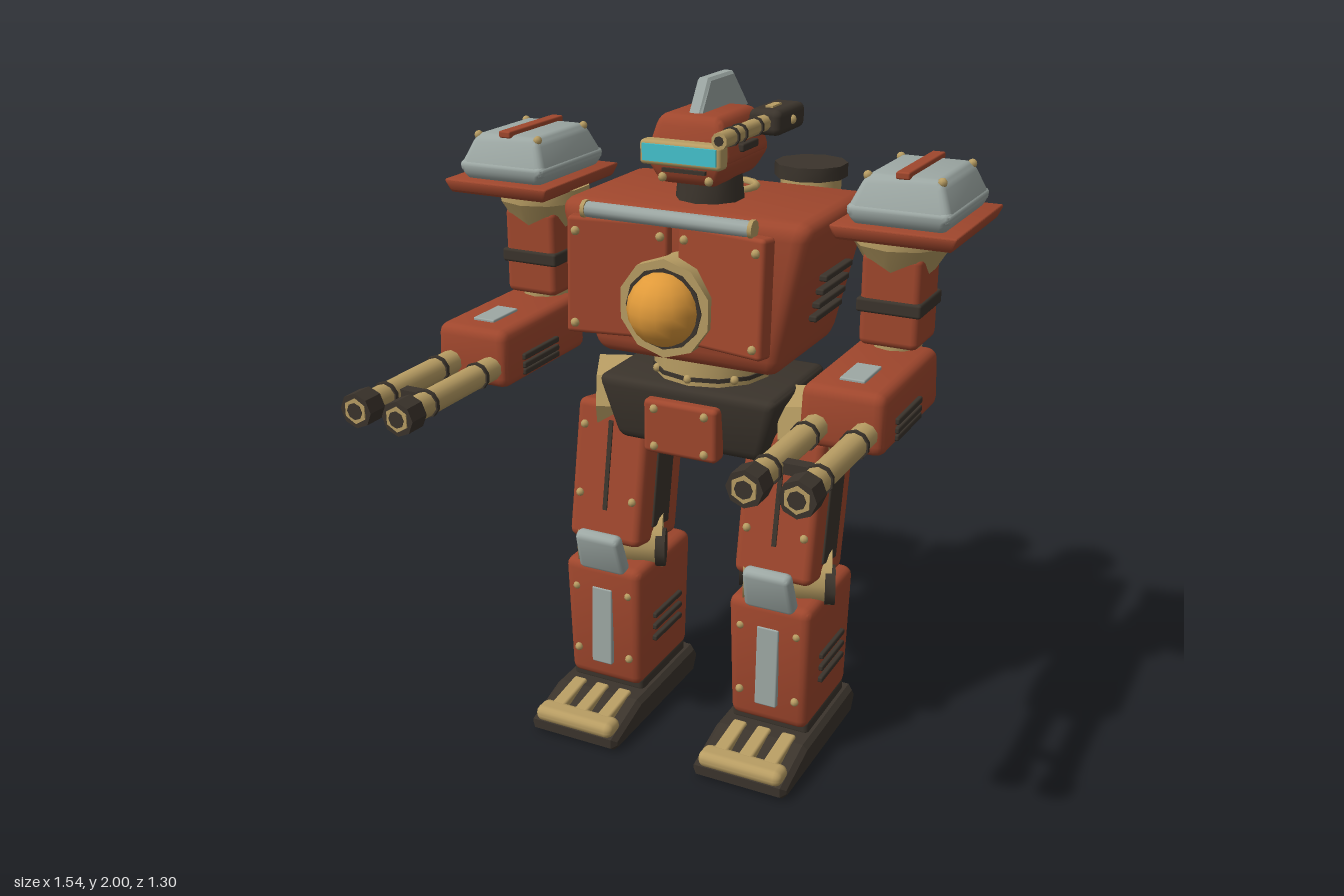
import * as THREE from 'three';
import { toCreasedNormals } from 'three/addons/utils/BufferGeometryUtils.js';
import { RoundedBoxGeometry } from 'three/addons/geometries/RoundedBoxGeometry.js';

const material = (name, color) => {
  const m = new THREE.MeshStandardMaterial({ color });
  m.name = name;
  return m;
};
const red = material('rust red', 0xa0472d);
const tan = material('brass tan', 0xb89d63);
const dark = material('dark iron', 0x3b342c);
const grey = material('pale steel', 0x9da8a4);
const cyan = material('visor cyan', 0x45c4cf);
const gold = material('amber', 0xe09a3a);

const HALF = Math.PI / 2;

function add(parent, name, geometry, mat, x = 0, y = 0, z = 0, rx = 0, ry = 0, rz = 0) {
  const mesh = new THREE.Mesh(geometry, mat);
  mesh.name = name;
  mesh.position.set(x, y, z);
  mesh.rotation.set(rx, ry, rz);
  parent.add(mesh);
  return mesh;
}

function group(parent, name, x = 0, y = 0, z = 0) {
  const g = new THREE.Group();
  g.name = name;
  g.position.set(x, y, z);
  parent.add(g);
  return g;
}

const box = (w, h, d) => new THREE.BoxGeometry(w, h, d);
const rbox = (w, h, d, r = 0.02) => new RoundedBoxGeometry(w, h, d, 2, r);

// Rounded box whose width and depth are scaled towards the top and bottom
function taperBox(w, h, d, r, top, bottom) {
  const g = rbox(w, h, d, r);
  const p = g.attributes.position;
  for (let i = 0; i < p.count; i++) {
    const t = p.getY(i) / h + 0.5;
    p.setX(i, p.getX(i) * THREE.MathUtils.lerp(bottom[0], top[0], t));
    p.setZ(i, p.getZ(i) * THREE.MathUtils.lerp(bottom[1], top[1], t));
  }
  return toCreasedNormals(g, 0.7);
}

const cyl = (r1, r2, h, n = 12) => toCreasedNormals(new THREE.CylinderGeometry(r1, r2, h, n), 0.7);
const cylZ = (r1, r2, h, n) => cyl(r1, r2, h, n).rotateX(HALF);
const cylX = (r, h, n) => cyl(r, r, h, n).rotateX(Math.PI / 8).rotateZ(HALF);

// Side outline of [z, y] points given a width along x
function sideExtrude(points, width, bevel = 0.008) {
  const shape = new THREE.Shape(points.map(([z, y]) => new THREE.Vector2(z, y)));
  const g = new THREE.ExtrudeGeometry(shape, {
    depth: width - 2 * bevel, bevelThickness: bevel, bevelSize: bevel, bevelOffset: -bevel, bevelSegments: 1,
  });
  return g.translate(0, 0, bevel - width / 2).rotateY(-HALF);
}

const boltGeo = new THREE.SphereGeometry(0.013, 8, 6);
function bolts(parent, xs, ys, z) {
  for (const x of xs) for (const y of ys) add(parent, 'bolt', boltGeo, tan, x, y, z);
}

function vents(parent, x, ys, z, length, slope = 0) {
  ys.forEach((y, i) => add(parent, 'vent', rbox(0.025, 0.018, length, 0.005), dark, x + slope * i, y, z));
}

function buildLeg(root, s) {
  const leg = group(root, s > 0 ? 'leftLeg' : 'rightLeg', 0.28 * s);
  // Foot
  add(leg, 'sole', sideExtrude([[0.15, 0], [0.17, 0.015], [0.17, 0.045], [0, 0.095], [-0.38, 0.1], [-0.41, 0.06], [-0.38, 0]], 0.3, 0.015), dark);
  add(leg, 'heel', rbox(0.2, 0.05, 0.06, 0.01), dark, 0, 0.05, -0.4);
  add(leg, 'toeBar', rbox(0.27, 0.052, 0.075, 0.024), tan, 0, 0.064, 0.135);
  for (const x of [-0.08, 0, 0.08]) add(leg, 'toeStrip', rbox(0.045, 0.03, 0.16, 0.008), tan, x, 0.082, 0.05, 0.12);
  add(leg, 'ankle', rbox(0.25, 0.05, 0.3, 0.015), dark, 0, 0.11, -0.21);
  // Shin
  add(leg, 'shin', taperBox(0.265, 0.41, 0.36, 0.03, [1, 1], [0.94, 0.93]), red, 0, 0.315, -0.21);
  add(leg, 'shinStrip', rbox(0.07, 0.26, 0.02, 0.005), grey, 0, 0.31, -0.035, -0.03);
  bolts(leg, [-0.09, 0.09], [0.21, 0.43], -0.036);
  for (const k of [-1, 1]) vents(leg, k * 0.129, [0.25, 0.29, 0.33], -0.215, 0.18);
  // Knee
  add(leg, 'kneeJoint', cylX(0.096, 0.26, 12), tan, 0, 0.565, -0.17);
  for (const k of [-1, 1]) add(leg, 'kneeCap', cylX(0.06, 0.03, 10), dark, k * 0.138, 0.555, -0.165);
  add(leg, 'kneePad', taperBox(0.175, 0.145, 0.045, 0.02, [0.85, 1], [0.95, 1]), grey, 0, 0.565, -0.035, 0.3);
  // Thigh, leaning back
  const thigh = group(leg, 'thigh', 0, 0.785, -0.212);
  thigh.rotation.x = -0.18;
  add(thigh, 'thighArmour', rbox(0.245, 0.44, 0.265, 0.025), red);
  add(thigh, 'thighSlot', box(0.014, 0.28, 0.01), dark, 0, 0.025, 0.132);
  bolts(thigh, [-0.09, 0.09], [-0.075, 0.14], 0.133);
  for (const k of [-1, 1]) add(thigh, 'thighPanel', rbox(0.018, 0.33, 0.105, 0.005), dark, k * 0.12, 0, 0);
  // Hip
  add(leg, 'hipJoint', cylX(0.122, 0.15, 8), tan, 0.015 * s, 1.02, -0.225);
}

function buildArm(root, s) {
  const arm = group(root, s > 0 ? 'leftArm' : 'rightArm', 0.563 * s, 0, -0.23);
  // Shoulder
  const shoulder = group(arm, 'shoulder', 0.037 * s, 0, 0);
  add(shoulder, 'shoulderPlate', taperBox(0.35, 0.04, 0.43, 0.008, [1, 1], [0.9, 0.95]), red, 0, 1.655, 0);
  add(shoulder, 'padBase', taperBox(0.3, 0.06, 0.38, 0.025, [1, 1], [0.84, 0.9]), grey, 0, 1.697, 0);
  add(shoulder, 'padTop', taperBox(0.3, 0.11, 0.38, 0.025, [0.68, 0.75], [1, 1]), grey, 0, 1.748, 0);
  add(shoulder, 'padStrip', rbox(0.038, 0.02, 0.3, 0.005), red, 0, 1.806, 0);
  for (const z of [-0.13, 0.13]) bolts(shoulder, [-0.1, 0.1], [1.795], z);
  add(arm, 'shoulderSocket', cyl(0.137, 0.137, 0.04, 10), tan, 0, 1.62, 0);
  add(arm, 'shoulderCone', cyl(0.137, 0.075, 0.1, 10), tan, 0, 1.55, 0);
  // Upper arm
  add(arm, 'upperArm', rbox(0.17, 0.26, 0.17, 0.02), red, 0, 1.45, 0.01);
  add(arm, 'armBand', rbox(0.184, 0.04, 0.184, 0.008), dark, 0, 1.435, 0.01);
  add(arm, 'piston', cyl(0.012, 0.012, 0.24, 8), tan, 0, 1.43, -0.1);
  add(arm, 'elbow', cyl(0.07, 0.07, 0.05, 10), tan, 0, 1.315, 0.01);
  // Forearm
  add(arm, 'forearm', taperBox(0.24, 0.17, 0.455, 0.03, [0.95, 0.98], [1, 1]), red, 0, 1.225, 0.203);
  add(arm, 'forearmStrip', rbox(0.07, 0.015, 0.13, 0.004), grey, 0, 1.31, 0.29);
  for (const k of [-1, 1]) vents(arm, k * 0.116, [1.17, 1.19, 1.215], 0.245, 0.19);
  // Twin barrels
  for (const x of [-0.067, 0.067]) {
    const gun = group(arm, 'barrelAssembly', x, 1.2, 0);
    add(gun, 'barrel', cylZ(0.035, 0.035, 0.42, 10), tan, 0, 0, 0.61);
    for (const z of [0.5, 0.74]) add(gun, 'barrelBand', cylZ(0.04, 0.04, 0.012, 10), dark, 0, 0, z);
    add(gun, 'muzzle', cylZ(0.049, 0.049, 0.063, 8), dark, 0, 0, 0.84);
    add(gun, 'muzzleRing', cylZ(0.036, 0.036, 0.008, 6), tan, 0, 0, 0.871);
    add(gun, 'bore', cylZ(0.024, 0.024, 0.004, 8), dark, 0, 0, 0.875);
  }
  add(arm, 'barrelBridge', box(0.08, 0.03, 0.035), dark, 0, 1.2, 0.7);
}

function buildTorso(root) {
  const torso = group(root, 'torso');
  // Pelvis and waist
  add(torso, 'pelvis', taperBox(0.575, 0.2, 0.4, 0.03, [1, 1], [0.8, 0.85]), dark, 0, 1.045, -0.23);
  add(torso, 'pelvisPlate', rbox(0.235, 0.165, 0.06, 0.015), red, 0, 1.022, -0.035);
  bolts(torso, [-0.08, 0.08], [0.965, 1.08], -0.004);
  add(torso, 'waist', cyl(0.175, 0.175, 0.12, 12), tan, 0, 1.165, -0.235);
  add(torso, 'waistRing', cyl(0.18, 0.18, 0.012, 12), dark, 0, 1.165, -0.235);
  for (let i = 0; i < 8; i++) {
    const a = i * Math.PI / 4;
    add(torso, 'bolt', boltGeo, tan, 0.175 * Math.sin(a), 1.165, -0.235 + 0.175 * Math.cos(a));
  }
  // Chest
  add(torso, 'chest', taperBox(0.78, 0.45, 0.5, 0.05, [1, 1], [0.73, 0.88]), red, 0, 1.44, -0.25);
  for (const k of [-1, 1]) {
    vents(torso, k * 0.332, [1.36, 1.4, 1.44, 1.48], -0.27, 0.2, k * 0.009);
    const door = group(torso, 'chestDoor', k * 0.16, 1.475, 0.042);
    door.rotation.set(-0.05, -k * 0.22, 0);
    add(door, 'doorPanel', rbox(0.29, 0.33, 0.055, 0.012), red);
    bolts(door, [-0.12, 0.12], [0.125], 0.028);
    bolts(door, [k * 0.12], [-0.135], 0.028);
  }
  add(torso, 'chestBar', cyl(0.022, 0.022, 0.49, 10), grey, 0, 1.66, 0.065, 0, 0, HALF);
  for (const k of [-1, 1]) add(torso, 'barEnd', cyl(0.026, 0.026, 0.012, 10), tan, k * 0.25, 1.66, 0.065, 0, 0, HALF);
  // Reactor lamp
  add(torso, 'lampRing', cylZ(0.14, 0.14, 0.09, 10), tan, 0, 1.415, 0.042);
  add(torso, 'lampSeat', cylZ(0.115, 0.115, 0.006, 12), dark, 0, 1.415, 0.088);
  add(torso, 'lamp', new THREE.SphereGeometry(0.105, 14, 10), gold, 0, 1.415, 0.08);
  // Back tanks
  for (const k of [-1, 1]) {
    const tank = group(torso, 'backTank', k * 0.165, 0, -0.543);
    add(tank, 'tankBody', cyl(0.09, 0.09, 0.4, 10), tan, 0, 1.485, 0);
    add(tank, 'tankCap', cyl(0.108, 0.108, 0.04, 10), dark, 0, 1.695, 0);
    for (const y of [1.38, 1.555]) add(tank, 'tankBand', cyl(0.095, 0.095, 0.016, 10), dark, 0, y, 0);
  }
  add(torso, 'tankBracket', rbox(0.2, 0.05, 0.04, 0.01), grey, 0, 1.62, -0.485);
}

function buildHead(root) {
  const head = group(root, 'head');
  add(head, 'neck', cyl(0.09, 0.1, 0.1, 10), dark, 0, 1.69, -0.2);
  add(head, 'neckRing', new THREE.TorusGeometry(0.075, 0.012, 6, 14), tan, 0, 1.67, -0.335, HALF);
  // Helmet
  add(head, 'jaw', taperBox(0.26, 0.08, 0.31, 0.025, [1, 1], [0.65, 0.85]), red, 0, 1.765, -0.185);
  add(head, 'helmet', taperBox(0.26, 0.13, 0.31, 0.03, [0.72, 0.78], [1, 1]), red, 0, 1.848, -0.185);
  add(head, 'visorFrame', rbox(0.245, 0.068, 0.05, 0.012), tan, 0, 1.816, -0.032);
  add(head, 'visor', box(0.22, 0.046, 0.008), cyan, 0, 1.818, -0.005);
  add(head, 'mouthSlot', box(0.13, 0.01, 0.01), dark, 0, 1.768, -0.034);
  bolts(head, [-0.07, 0.07], [1.745], -0.045);
  for (const k of [-1, 1]) add(head, 'earVent', rbox(0.02, 0.022, 0.1, 0.005), dark, k * 0.123, 1.825, -0.18);
  add(head, 'crest', sideExtrude([[-0.08, 1.88], [-0.155, 2], [-0.31, 2], [-0.415, 1.89], [-0.36, 1.88]], 0.04), grey);
  // Side cannon
  const cannon = group(root, 'sideCannon', 0.2, 1.903, 0);
  add(cannon, 'cannonBody', rbox(0.095, 0.07, 0.18, 0.02), dark, 0, 0, -0.195);
  add(cannon, 'cannonPlate', box(0.022, 0.008, 0.06), tan, 0, 0.036, -0.17);
  for (const k of [-1, 1]) add(cannon, 'bolt', boltGeo, tan, k * 0.046, 0, -0.19);
  add(cannon, 'cannonBarrel', cylZ(0.022, 0.022, 0.28, 10), tan, 0, 0, 0.03);
  for (const z of [-0.05, 0.05, 0.1]) add(cannon, 'cannonBand', cylZ(0.026, 0.026, 0.01, 10), dark, 0, 0, z);
  add(cannon, 'cannonBore', cylZ(0.013, 0.013, 0.004, 8), dark, 0, 0, 0.171);
}

export function createModel() {
  const root = new THREE.Group();
  root.name = 'walkerRobot';
  for (const s of [-1, 1]) {
    buildLeg(root, s);
    buildArm(root, s);
  }
  buildTorso(root);
  buildHead(root);
  return root;
}
